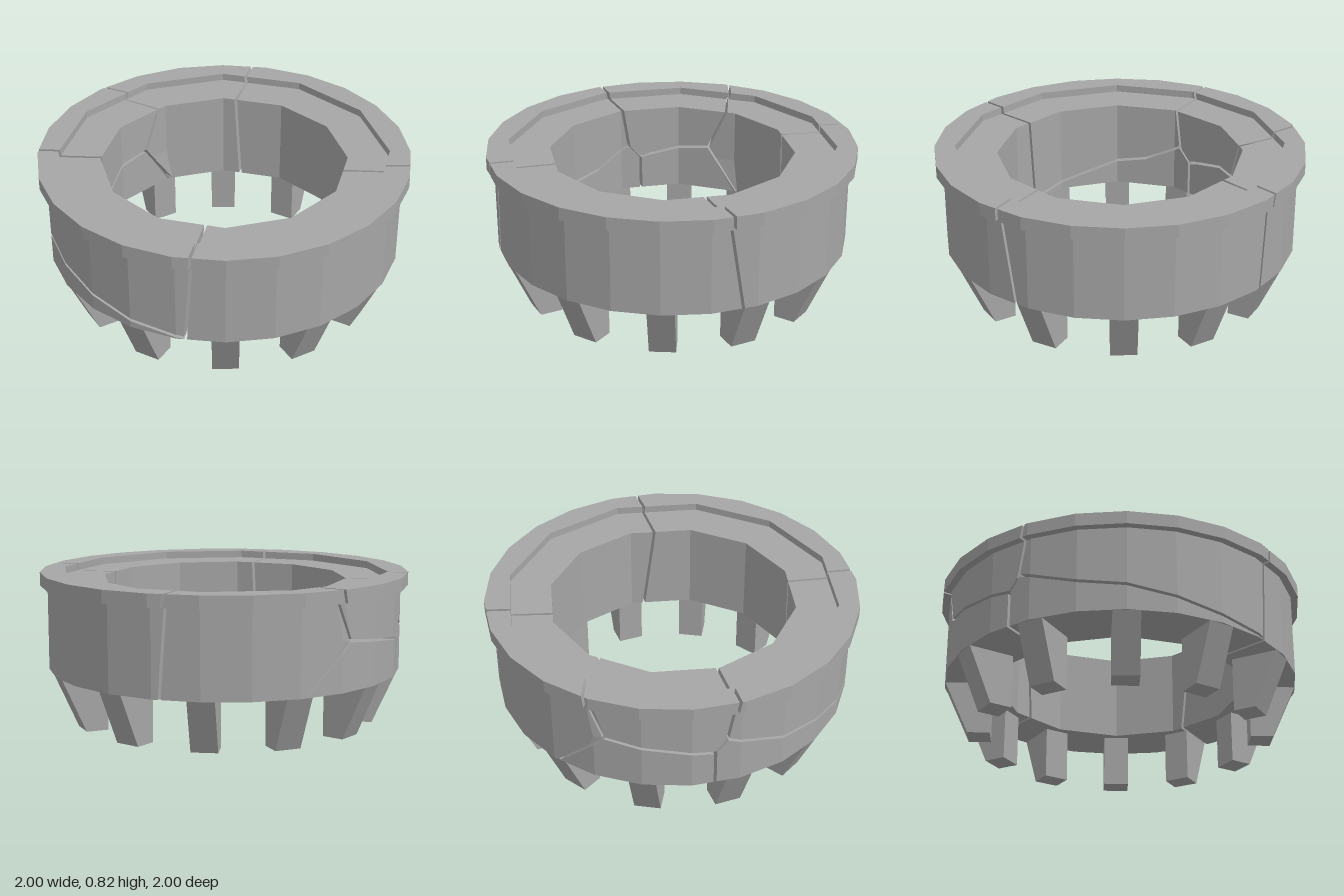
import * as THREE from 'three';

const R_IN = 0.665, R_WALL = 0.96, R_LIP = 1, R_STEP = 0.89;
const Y0 = 0.29, Y_LIP = 0.75, Y_STEP = 0.78, Y1 = 0.82;
const GAP = 0.008; // half width of a crack
const rad = THREE.MathUtils.degToRad, lerp = THREE.MathUtils.lerp, clamp = THREE.MathUtils.clamp;

// Cracks through the ring: [height, angle at the outside, angle at the inside]
const crackA = [[0.29, 267.8, 272], [0.55, 251, 256], [0.75, 256, 264], [0.82, 256.7, 267.4]];
const crackB = [[0.29, 313, 309], [0.75, 311, 306.5], [0.82, 310, 306.3]];
const crackC = [[0.29, 217.5, 220], [0.485, 217.5, 220], [0.55, 214.5, 214], [0.82, 211.5, 210.5]];
const crackD = [[0.29, 132.3, 131], [0.82, 130, 128.5]];
const crackE = [[0.29, 34.5, 36], [0.75, 38.8, 41.5], [0.82, 38.8, 42]];
const crackENext = crackE.map(([y, o, i]) => [y, o + 360, i + 360]);
// Level cracks: [angle, height]
const crackCD = [[132, 0.3], [150, 0.335], [180, 0.43], [195, 0.46], [214.5, 0.56]];
const crackAC = [[217.5, 0.485], [251, 0.55]];

// Piecewise linear lookup in rows sorted by their first entry
function lookup(rows, x, col = 1) {
  if (x <= rows[0][0]) return rows[0][col];
  for (let i = 1; i < rows.length; i++) {
    const [a, b] = [rows[i - 1], rows[i]];
    if (x <= b[0]) return lerp(a[col], b[col], (x - a[0]) / (b[0] - a[0]));
  }
  return rows[rows.length - 1][col];
}

// Point on an n-sided ring with a corner at angle 0
function ringPoint(r, n, deg, y) {
  const step = 360 / n;
  const off = deg - Math.floor(deg / step) * step - step / 2;
  const d = r * Math.cos(rad(step / 2)) / Math.cos(rad(off));
  return new THREE.Vector3(d * Math.cos(rad(deg)), y, d * Math.sin(rad(deg)));
}

// One ring fragment between two cracks; rowsAt(angle) lists rungs [y, outer radius, inner radius]
function fragmentGeometry(start, end, rowsAt) {
  const edge = (crack, y, r, side) => {
    const t = clamp((r - R_IN) / (R_LIP - R_IN), 0, 1);
    return lerp(lookup(crack, y, 2), lookup(crack, y, 1), t) + side * THREE.MathUtils.radToDeg(GAP / r);
  };
  const place = (deg, y, r, n) =>
    ringPoint(r, n, clamp(deg, edge(start, y, r, 1), edge(end, y, r, -1)), y);
  const all = (crack) => crack.flatMap((k) => [k[1], k[2]]);
  const from = Math.floor(Math.min(...all(start)) / 15) * 15;
  const to = Math.ceil(Math.max(...all(end)) / 15) * 15;

  const cols = [];
  for (let deg = from; deg <= to; deg += 15) {
    cols.push(rowsAt(deg).map(([y, ro, ri]) => ({ o: place(deg, y, ro, 24), i: place(deg, y, ri, 12) })));
  }

  const pos = [], e1 = new THREE.Vector3(), e2 = new THREE.Vector3();
  const tri = (a, b, c) => {
    if (e1.subVectors(b, a).cross(e2.subVectors(c, a)).length() < 1e-7) return;
    for (const p of [a, b, c]) pos.push(p.x, p.y, p.z);
  };
  const quad = (a, b, c, d) => { tri(a, b, c); tri(a, c, d); };

  const last = cols[0].length - 1;
  for (let j = 0; j < cols.length - 1; j++) {
    const [p, q] = [cols[j], cols[j + 1]];
    for (let k = 0; k < last; k++) {
      quad(p[k].o, p[k + 1].o, q[k + 1].o, q[k].o);
      quad(p[k].i, q[k].i, q[k + 1].i, p[k + 1].i);
    }
    quad(p[last].i, q[last].i, q[last].o, p[last].o);
    quad(p[0].o, q[0].o, q[0].i, p[0].i);
  }
  // Broken end faces
  const [s, f] = [cols[0], cols[cols.length - 1]];
  for (let k = 0; k < last; k++) {
    quad(s[k].i, s[k + 1].i, s[k + 1].o, s[k].o);
    quad(f[k].o, f[k + 1].o, f[k + 1].i, f[k].i);
  }
  const geo = new THREE.BufferGeometry();
  geo.setAttribute('position', new THREE.Float32BufferAttribute(pos, 3));
  geo.computeVertexNormals();
  return geo;
}

// Wall, lip and stepped top above a bottom height
const upperRows = (crack) => (deg) => {
  const yB = crack ? lookup(crack, deg) + GAP : Y0;
  return [
    [yB, R_WALL, R_IN], [Math.max(0.485, yB), R_WALL, R_IN], [Math.max(0.55, yB), R_WALL, R_IN],
    [Y_LIP, R_WALL, R_IN], [Y_LIP, R_LIP, R_IN],
    [Y_STEP, R_LIP, R_IN], [Y_STEP, R_LIP, R_STEP], [Y1, R_LIP, R_STEP],
  ];
};

// Plain wall below a level crack
const lowerRows = (crack) => (deg) => {
  const yT = lookup(crack, deg) - GAP;
  return [[Y0, R_WALL, R_IN], [Math.min(0.485, yT), R_WALL, R_IN], [yT, R_WALL, R_IN]];
};

export function createModel() {
  const group = new THREE.Group();
  const stone = new THREE.MeshStandardMaterial({ color: 0xa6a6a6, flatShading: true });
  stone.name = 'stone grey';
  const add = (name, geo) => {
    const mesh = new THREE.Mesh(geo, stone);
    mesh.name = name;
    group.add(mesh);
    return mesh;
  };

  // Cracked ring
  add('ringFront', fragmentGeometry(crackE, crackD, upperRows()));
  add('ringRightUpper', fragmentGeometry(crackD, crackC, upperRows(crackCD)));
  add('ringRightLower', fragmentGeometry(crackD, crackC, lowerRows(crackCD)));
  add('ringBackUpper', fragmentGeometry(crackC, crackA, upperRows(crackAC)));
  add('ringBackLower', fragmentGeometry(crackC, crackA, lowerRows(crackAC)));
  add('ringBack', fragmentGeometry(crackA, crackB, upperRows()));
  add('ringLeft', fragmentGeometry(crackB, crackENext, upperRows()));

  // Twelve tapered legs under the ring
  const profile = new THREE.Shape([[0.7, 0], [0.82, 0], [0.95, Y0], [0.7, Y0]].map((p) => new THREE.Vector2(...p)));
  const legGeo = new THREE.ExtrudeGeometry(profile, { depth: 0.14, bevelEnabled: false }).translate(0, 0, -0.07);
  for (let i = 0; i < 12; i++) add('leg', legGeo).rotation.y = rad(i * 30);

  return group;
}
